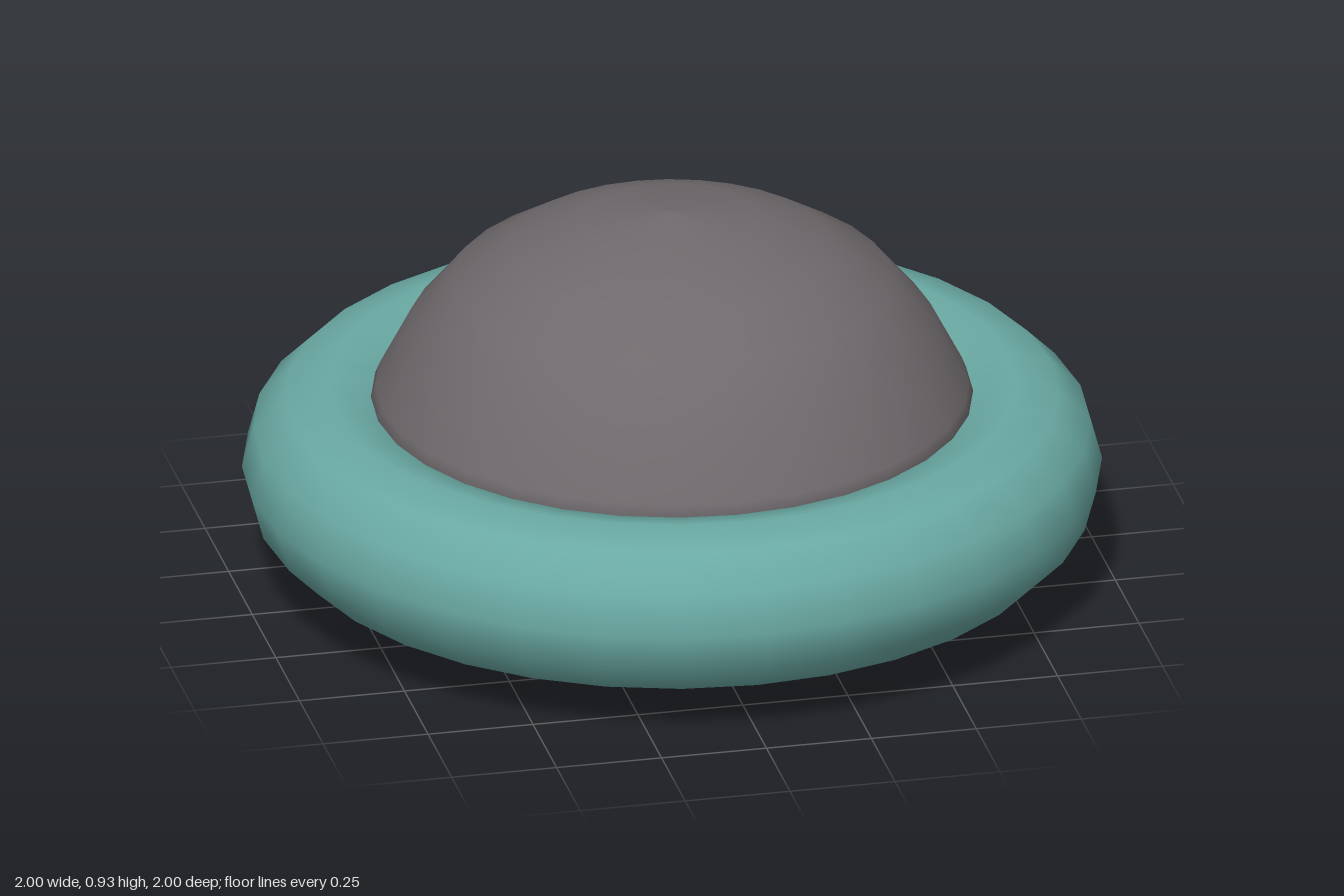
import * as THREE from 'three';

const SIDES = 32;

// Revolve a list of [radius, height] points into a named mesh
function turned(name, color, profile) {
  const points = profile.map(([r, y]) => new THREE.Vector2(r, y));
  const mesh = new THREE.Mesh(
    new THREE.LatheGeometry(points, SIDES),
    new THREE.MeshStandardMaterial({ color, side: THREE.DoubleSide })
  );
  mesh.name = name;
  return mesh;
}

export function createModel() {
  const group = new THREE.Group();
  group.name = 'saucer';
  const teal = 0x6aa9a3, grey = 0x6e696c, green = 0x2a7d5b;

  // Fat rounded rim: twelve-sided tube with its underside cut flat
  const rim = [];
  for (let i = -2; i <= 7; i++) {
    const a = (i * Math.PI) / 6;
    rim.push([0.8 + 0.2 * Math.cos(a), 0.29 + 0.2 * Math.sin(a)]);
  }
  group.add(turned('rim', teal, rim));
  group.add(turned('rimUnderside', teal, [[0.63, 0.12], [0.9, 0.12]]));

  // Hollow dome with a small lip where it meets the rim
  group.add(turned('dome', grey, [
    [0.7, 0.3], [0.7, 0.465], [0.69, 0.49], [0.615, 0.635], [0.51, 0.76],
    [0.38, 0.84], [0.22, 0.9], [0, 0.93],
  ]));

  // Shallow dished hull below the rim
  group.add(turned('hull', green, [[0.43, 0.005], [0.64, 0.015], [0.8, 0.13]]));

  // Rounded collar around the bottom opening
  group.add(turned('collar', grey, [
    [0.34, 0.02], [0.355, 0.006], [0.39, 0], [0.425, 0.003], [0.445, 0.008],
  ]));

  // Tapered wall leading up into the hollow
  group.add(turned('openingWall', green, [[0.28, 0.19], [0.345, 0.01]]));

  return group;
}
